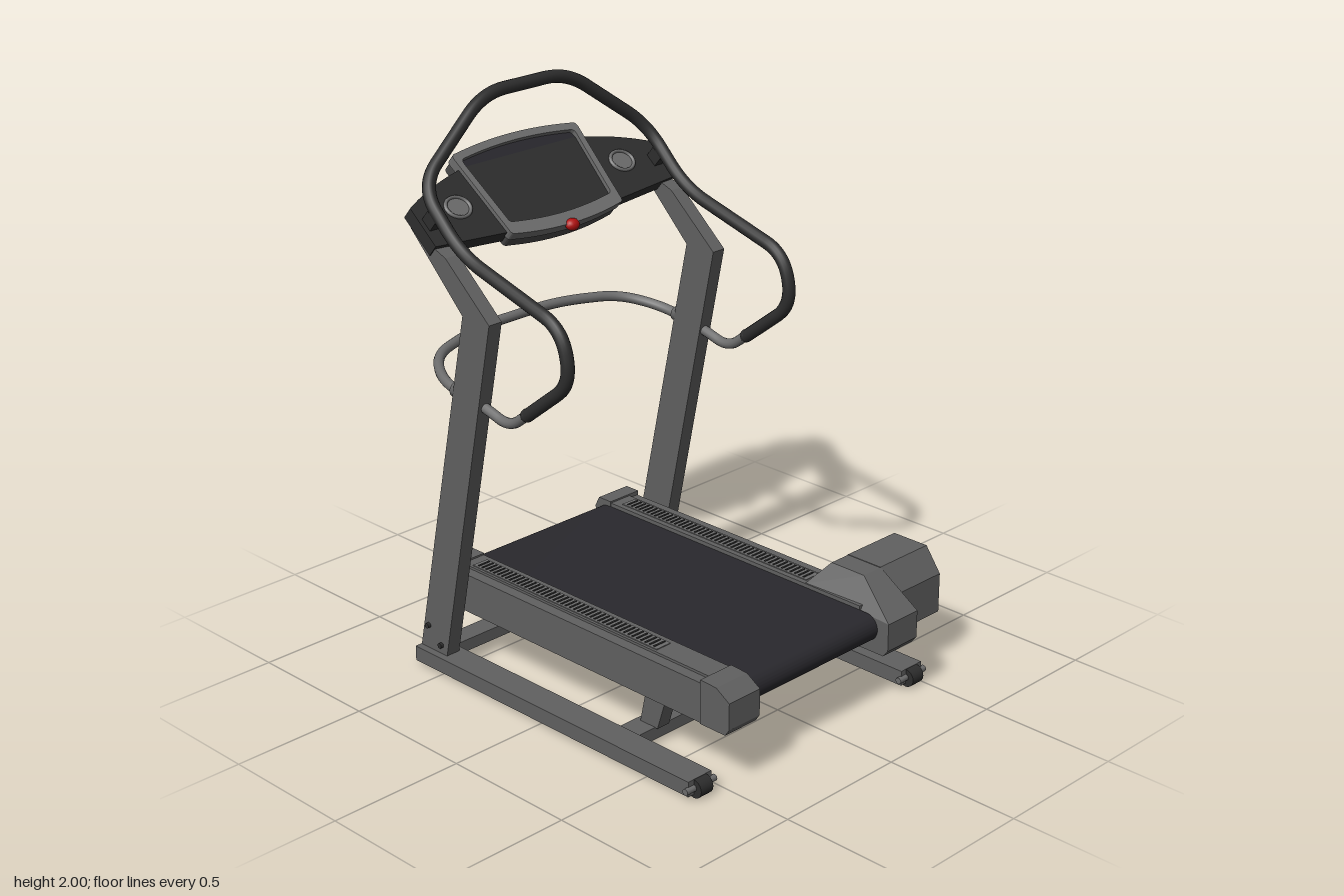
import * as THREE from 'three';
import { toCreasedNormals } from 'three/addons/utils/BufferGeometryUtils.js';
import { ConvexGeometry } from 'three/addons/geometries/ConvexGeometry.js';

const mat = (color) => new THREE.MeshStandardMaterial({ color });
const steel = mat(0x606060), trim = mat(0x6c6c6c), dark = mat(0x2d2d2d);
const beltMat = mat(0x29282d), red = mat(0xb01010);
const V = (x, y, z) => new THREE.Vector3(x, y, z);

function add(parent, name, geo, material, x = 0, y = 0, z = 0) {
  const m = new THREE.Mesh(geo, material);
  m.name = name;
  m.position.set(x, y, z);
  parent.add(m);
  return m;
}

// box given by its min and max on every axis
function box(parent, name, material, x0, x1, y0, y1, z0, z1) {
  return add(parent, name, new THREE.BoxGeometry(x1 - x0, y1 - y0, z1 - z0), material,
    (x0 + x1) / 2, (y0 + y1) / 2, (z0 + z1) / 2);
}

// side profile of [z, y] points, extruded along x
function profileX(points, x0, x1) {
  const s = new THREE.Shape(points.map(([z, y]) => new THREE.Vector2(-z, y)));
  return new THREE.ExtrudeGeometry(s, { depth: x1 - x0, bevelEnabled: false })
    .rotateY(Math.PI / 2).translate(x0, 0, 0);
}

// cylinder lying along x
const rod = (r, len, seg = 20) => new THREE.CylinderGeometry(r, r, len, seg).rotateZ(Math.PI / 2);

// tube along a polyline with rounded corners
function bentTube(pts, radius, fillet, segments) {
  const path = new THREE.CurvePath();
  let from = pts[0];
  for (let i = 1; i < pts.length - 1; i++) {
    const p = pts[i], a = pts[i - 1], b = pts[i + 1];
    const cut = Math.min(fillet, p.distanceTo(a) * 0.48, p.distanceTo(b) * 0.48);
    const p0 = p.clone().add(a.clone().sub(p).setLength(cut));
    const p1 = p.clone().add(b.clone().sub(p).setLength(cut));
    path.add(new THREE.LineCurve3(from, p0));
    path.add(new THREE.QuadraticBezierCurve3(p0, p, p1));
    from = p1;
  }
  path.add(new THREE.LineCurve3(from, pts[pts.length - 1]));
  return new THREE.TubeGeometry(path, segments, radius, 12, false);
}

// mirrored path: right half reversed, then left half
const mirrored = (half) => [...half.map((p) => V(-p.x, p.y, p.z)).reverse(), ...half];

// console outline with bulging top and bottom edges
function panel(C, wTop, wBot, top, bottom, bulge, r = 0.02) {
  const s = new C();
  s.moveTo(-wBot + r, bottom);
  s.quadraticCurveTo(0, bottom - 2 * bulge, wBot - r, bottom);
  s.quadraticCurveTo(wBot, bottom, wBot, bottom + r);
  s.lineTo(wTop, top - r);
  s.quadraticCurveTo(wTop, top, wTop - r, top);
  s.quadraticCurveTo(0, top + 2 * bulge, -wTop + r, top);
  s.quadraticCurveTo(-wTop, top, -wTop, top - r);
  s.lineTo(-wBot, bottom + r);
  s.quadraticCurveTo(-wBot, bottom, -wBot + r, bottom);
  return s;
}
const plate = (shape, depth, z) => toCreasedNormals(
  new THREE.ExtrudeGeometry(shape, { depth, bevelEnabled: false, curveSegments: 16 }).translate(0, 0, z), 0.5);

function buildBase(g) {
  for (const s of [-1, 1]) {
    const side = new THREE.Group();
    side.name = s < 0 ? 'rightBase' : 'leftBase';
    g.add(side);
    const span = (a, b) => (s > 0 ? [a, b] : [-b, -a]);
    box(side, 'baseRail', steel, ...span(0.47, 0.575), 0.012, 0.067, -0.63, 0.7);
    add(side, 'wheel', rod(0.033, 0.055), dark, s * 0.522, 0.033, 0.7);
    add(side, 'wheelAxle', rod(0.012, 0.135, 10), trim, s * 0.522, 0.036, 0.7);
    // bent upright
    add(side, 'upright', profileX([[-0.495, 0.06], [-0.63, 0.06], [-0.355, 1.355], [-0.6, 1.615],
      [-0.43, 1.535], [-0.225, 1.355]].map((p, i) => (i === 3 ? [-0.6, 1.6] : p)), ...span(0.493, 0.548)), steel);
    for (const [y, z] of [[0.1, -0.52], [0.155, -0.585]])
      add(side, 'uprightBolt', rod(0.01, 0.075, 10), dark, s * 0.522, y, z);
    // slanted deck leg
    add(side, 'deckLeg', profileX([[0.38, 0.06], [0.43, 0.22], [0.335, 0.22], [0.3, 0.06]], ...span(0.338, 0.392)), steel);
  }
  box(g, 'rearCrossBeam', steel, -0.48, 0.48, 0.018, 0.062, -0.625, -0.545);
  box(g, 'frontCrossBeam', steel, -0.48, 0.48, 0.018, 0.062, 0.28, 0.37);
}

function buildDeck(g) {
  // belt wrapped round both rollers
  const b = new THREE.Shape();
  b.absarc(-0.67, 0.288, 0.05, Math.PI / 2, Math.PI * 1.5);
  b.absarc(0.575, 0.288, 0.05, -Math.PI / 2, Math.PI / 2);
  const belt = new THREE.ExtrudeGeometry(b, { depth: 0.62, bevelEnabled: false, curveSegments: 16 })
    .rotateY(Math.PI / 2).translate(-0.31, 0, 0);
  add(g, 'belt', toCreasedNormals(belt, 0.6), beltMat);
  add(g, 'frontRoller', rod(0.035, 0.7), dark, 0, 0.288, 0.67);

  for (const s of [-1, 1]) {
    const span = (a, c) => (s > 0 ? [a, c] : [-c, -a]);
    box(g, 'deckSideRail', steel, ...span(0.31, 0.405), 0.2, 0.352, -0.6, 0.64);
    box(g, 'deckRailEdge', steel, ...span(0.405, 0.445), 0.2, 0.343, -0.6, 0.64);
    box(g, 'footStrip', trim, ...span(0.33, 0.395), 0.35, 0.355, -0.52, 0.38);
    const ribs = new THREE.InstancedMesh(new THREE.BoxGeometry(0.05, 0.004, 0.007), dark, 44);
    ribs.name = 'footStripRibs';
    for (let i = 0; i < 44; i++)
      ribs.setMatrixAt(i, new THREE.Matrix4().makeTranslation(s * 0.3625, 0.3555, -0.5 + i * 0.02));
    g.add(ribs);
    add(g, 'rearCap', profileX([[-0.56, 0.2], [-0.56, 0.358], [-0.62, 0.358], [-0.64, 0.32], [-0.615, 0.2]],
      ...span(0.308, 0.45)), steel);
  }
  add(g, 'frontCap', profileX([[0.63, 0.2], [0.63, 0.358], [0.7, 0.355], [0.757, 0.32], [0.757, 0.225], [0.74, 0.2]],
    -0.45, -0.308), steel);
}

function buildMotor(g) {
  // chamfered housing over the deck rail, then the outer motor box
  const inner = [];
  for (const x of [0.313, 0.463])
    inner.push(V(x, 0.2, 0.42), V(x, 0.2, 0.745), V(x, 0.225, 0.765), V(x, 0.325, 0.765), V(x, 0.35, 0.39));
  for (const x of [0.375, 0.463]) inner.push(V(x, 0.43, 0.455), V(x, 0.43, 0.6));
  add(g, 'motorHousing', new ConvexGeometry(inner), steel);
  add(g, 'motorBox', profileX([[0.42, 0.2], [0.39, 0.35], [0.455, 0.432], [0.6, 0.432], [0.663, 0.345], [0.663, 0.2]],
    0.46, 0.706), steel);
}

function buildHandrail(g) {
  // overhead hoop running forward into both grips
  add(g, 'handrail', bentTube(mirrored([V(0.19, 1.978, -0.635), V(0.517, 1.74, -0.575), V(0.517, 1.55, -0.385),
    V(0.517, 1.415, 0.085), V(0.517, 1.24, 0.125), V(0.517, 1.075, -0.085)]), 0.023, 0.1, 320), dark);
  // grey bar from the grips through the uprights and round the back
  add(g, 'rearBar', bentTube(mirrored([V(0.19, 1.132, -0.7), V(0.43, 1.113, -0.635), V(0.52, 1.08, -0.5),
    V(0.517, 1.05, -0.31), V(0.517, 1.01, -0.17), V(0.517, 1.085, -0.075)]), 0.018, 0.12, 240), trim);
  for (const s of [-1, 1]) {
    add(g, 'gripEnd', new THREE.SphereGeometry(0.0235, 14, 10), dark, s * 0.517, 1.076, -0.085);
    add(g, 'barClamp', rod(0.026, 0.07, 14).rotateY(Math.PI / 2), steel, s * 0.52, 1.07, -0.4);
  }
}

function buildConsole(g) {
  const c = new THREE.Group();
  c.name = 'console';
  c.position.set(0, 1.657, -0.565);
  c.rotation.x = -50 * Math.PI / 180;
  g.add(c);
  // dark arched wing across both uprights
  const w = new THREE.Shape();
  w.moveTo(-0.552, -0.13);
  w.lineTo(-0.25, -0.155);
  w.lineTo(0.25, -0.155);
  w.lineTo(0.552, -0.13);
  w.lineTo(0.552, 0.03);
  w.quadraticCurveTo(0.42, 0.095, 0.25, 0.125);
  w.lineTo(-0.25, 0.125);
  w.quadraticCurveTo(-0.42, 0.095, -0.552, 0.03);
  add(c, 'consoleWing', plate(w, 0.05, -0.06), dark);
  // framed screen
  const frame = panel(THREE.Shape, 0.285, 0.258, 0.175, -0.175, 0.022);
  frame.holes.push(panel(THREE.Path, 0.258, 0.235, 0.15, -0.13, 0.018));
  add(c, 'screenFrame', plate(frame, 0.035, -0.03), trim);
  add(c, 'screen', plate(panel(THREE.Shape, 0.265, 0.24, 0.155, -0.135, 0.018), 0.01, -0.022), beltMat);
  add(c, 'consoleBack', plate(panel(THREE.Shape, 0.28, 0.253, 0.172, -0.172, 0.022), 0.045, -0.07), mat(0x484848));
  const key = add(c, 'safetyKey', new THREE.SphereGeometry(0.028, 16, 12), red, 0, -0.2, 0);
  key.scale.set(1, 0.8, 0.7);
  for (const s of [-1, 1]) {
    // cup holders, showing as a rim above and a bowl beneath
    const cup = add(c, 'cupHolder', new THREE.CylinderGeometry(0.052, 0.036, 0.085, 24).rotateX(Math.PI / 2),
      trim, s * 0.378, -0.015, -0.05);
    cup.scale.y = 0.85;
    const rim = add(c, 'cupHolderRim', new THREE.TorusGeometry(0.048, 0.007, 8, 24), trim, s * 0.378, -0.015, -0.007);
    rim.scale.y = 0.85;
    // bracket between the wing and the handrail
    box(c, 'railBracket', dark, s * 0.517 - 0.018, s * 0.517 + 0.018, -0.07, -0.02, -0.02, 0.035);
  }
}

export function createModel() {
  const model = new THREE.Group();
  model.name = 'treadmill';
  const body = new THREE.Group();
  body.name = 'body';
  body.position.x = -0.063; // the motor box overhangs on one side
  model.add(body);
  for (const build of [buildBase, buildDeck, buildMotor, buildHandrail, buildConsole]) build(body);
  return model;
}
